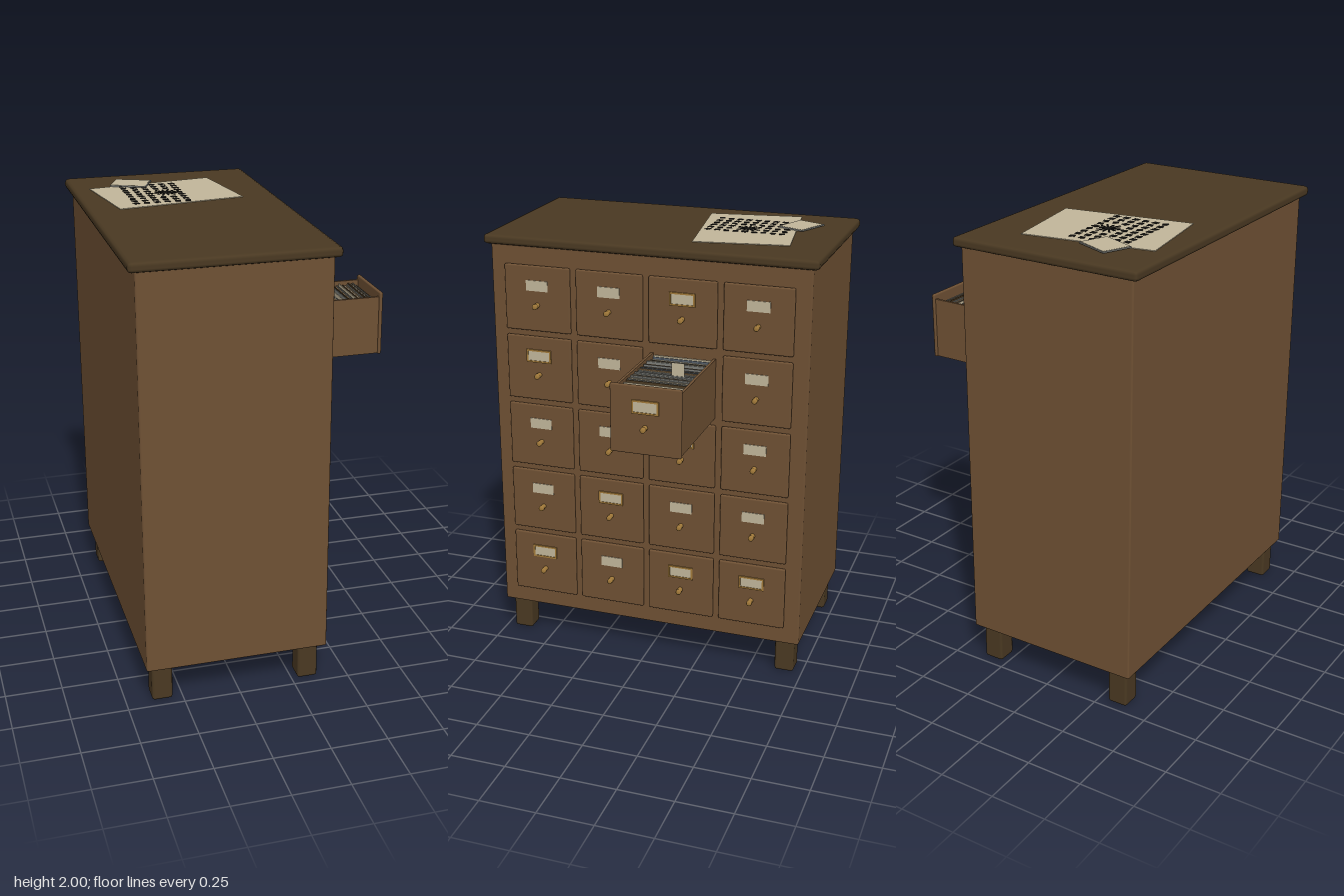
import * as THREE from 'three';
import { RoundedBoxGeometry } from 'three/addons/geometries/RoundedBoxGeometry.js';

const mat = (name, color) => {
  const m = new THREE.MeshStandardMaterial({ color });
  m.name = name;
  return m;
};

export function createModel() {
  const wood = mat('brown wood', 0x6f5134);
  const darkWood = mat('dark wood', 0x4a3922);
  const brass = mat('brass', 0xa27a3a);
  const paper = mat('paper', 0xc2b69a);
  const ink = mat('ink', 0x12110f);
  const greyCard = mat('grey card', 0x7c7d78);
  const tanCard = mat('tan card', 0x8d7250);
  const slateCard = mat('slate card', 0x56606a);

  let seed = 7;
  const rand = () => (seed = (seed * 16807) % 2147483647) / 2147483647;

  const model = new THREE.Group();
  model.name = 'cardCatalogue';

  const add = (parent, name, geometry, material, x, y, z) => {
    const mesh = new THREE.Mesh(geometry, material);
    mesh.name = name;
    mesh.position.set(x, y, z);
    parent.add(mesh);
    return mesh;
  };
  const box = (w, h, d) => new THREE.BoxGeometry(w, h, d);
  const soft = (w, h, d, r) => new RoundedBoxGeometry(w, h, d, 1, r);

  // Carcass, top slab and feet
  add(model, 'cabinetBody', soft(0.813, 1.79, 1.475, 0.008), wood, -0.2565, 1.06, 0);
  add(model, 'topSlab', soft(0.87, 0.044, 1.53, 0.016), darkWood, -0.2585, 1.968, 0);
  const legGeo = soft(0.092, 0.166, 0.092, 0.012);
  for (const x of [-0.59, 0.072])
    for (const z of [-0.664, 0.664]) add(model, 'leg', legGeo, darkWood, x, 0.083, z);

  // Shared drawer parts; each drawer faces +x from its own origin
  const frontGeo = soft(0.018, 0.302, 0.313, 0.007);
  const labelGeo = box(0.004, 0.048, 0.104);
  const knobGeo = new THREE.LatheGeometry(
    [[0.0115, 0], [0.0115, 0.012], [0.0095, 0.016], [0.0125, 0.021], [0.0125, 0.036], [0.009, 0.04], [0, 0.04]]
      .map(([r, y]) => new THREE.Vector2(r, y)), 12);
  knobGeo.rotateZ(-Math.PI / 2);
  const rect = (path, w, h) => {
    path.moveTo(-w / 2, -h / 2);
    path.lineTo(w / 2, -h / 2);
    path.lineTo(w / 2, h / 2);
    path.lineTo(-w / 2, h / 2);
    path.closePath();
    return path;
  };
  const frameShape = rect(new THREE.Shape(), 0.119, 0.06);
  frameShape.holes.push(rect(new THREE.Path(), 0.102, 0.044));
  const frameGeo = new THREE.ExtrudeGeometry(frameShape, { depth: 0.007, bevelEnabled: false });
  frameGeo.rotateY(Math.PI / 2);

  // Grid of drawers, some with a brass label holder
  const framed = ['0010', '1010', '0010', '0100', '1011'];
  const openRow = 1, openCol = 2;
  let openDrawer;
  for (let row = 0; row < 5; row++) {
    for (let col = 0; col < 4; col++) {
      const open = row === openRow && col === openCol;
      const drawer = new THREE.Group();
      drawer.name = open ? 'openDrawer' : 'drawer';
      drawer.position.set(open ? 0.637 : 0.15, 1.711 - row * 0.328, 0.513 - col * 0.341);
      add(drawer, 'drawerFront', frontGeo, wood, 0.008, 0, 0);
      add(drawer, 'label', labelGeo, paper, 0.018, 0.06, 0);
      add(drawer, 'knob', knobGeo, brass, 0.016, -0.029, 0);
      if (framed[row][col] === '1') add(drawer, 'labelFrame', frameGeo, brass, 0.016, 0.06, 0);
      model.add(drawer);
      if (open) openDrawer = drawer;
    }
  }

  // Tray of the pulled-out drawer
  const len = 0.52, mid = -len / 2;
  add(openDrawer, 'trayBottom', box(len, 0.012, 0.3), wood, mid, -0.141, 0);
  for (const s of [-1, 1]) add(openDrawer, 'traySide', box(len, 0.276, 0.012), wood, mid, -0.009, s * 0.144);

  // Packed index cards
  const cardMats = [paper, greyCard, tanCard, greyCard, slateCard, darkWood, tanCard, greyCard];
  const count = 84;
  for (let i = 0; i < count; i++) {
    const h = 0.235 + rand() * 0.02;
    const material = cardMats[Math.floor(rand() * cardMats.length)];
    add(openDrawer, 'indexCard', box(0.0046, h, 0.272), material, -0.006 - i * 0.0058, -0.135 + h / 2, (rand() - 0.5) * 0.006);
  }
  add(openDrawer, 'raisedCard', box(0.004, 0.1, 0.058), paper, -0.246, 0.126, -0.055);

  // Large sheet on the top
  const sheet = add(model, 'paperSheet', box(0.583, 0.003, 0.427), paper, -0.299, 1.9915, -0.333);
  sheet.rotation.y = 0.147;

  // Block marks in rows, leaving room for the central burst
  const markGeo = box(0.025, 0.0016, 0.025);
  for (let r = 0; r < 9; r++) {
    for (let c = 0; c < 6; c++) {
      const angle = (rand() - 0.5) * 0.9;
      if ((c === 3 || c === 4) && r >= 3 && r <= 5) continue;
      const mark = add(model, 'inkMark', markGeo, ink, -0.468 + c * 0.0468, 1.9936, -0.502 + r * 0.0428);
      mark.rotation.y = angle;
    }
  }

  // Burst of ink strokes
  const burst = new THREE.Group();
  burst.name = 'inkBurst';
  burst.position.set(-0.299, 1.994, -0.333);
  for (let i = 0; i < 6; i++) {
    const stroke = add(burst, 'inkStroke', box(i % 2 ? 0.1 : 0.12, 0.0016, 0.008), ink, 0, 0, 0);
    stroke.rotation.y = (i * Math.PI) / 6 + 0.1;
  }
  add(burst, 'burstCentre', new THREE.CylinderGeometry(0.018, 0.018, 0.0018, 12), ink, 0, 0, 0);
  model.add(burst);

  // Small card with a grey backing lying over the sheet
  const note = new THREE.Group();
  note.name = 'noteCard';
  note.position.set(-0.417, 1.996, -0.546);
  note.rotation.y = -0.41;
  add(note, 'noteBacking', box(0.168, 0.006, 0.134), greyCard, 0, 0, 0);
  add(note, 'noteFace', box(0.16, 0.002, 0.126), paper, 0, 0.003, 0);
  model.add(note);

  return model;
}
